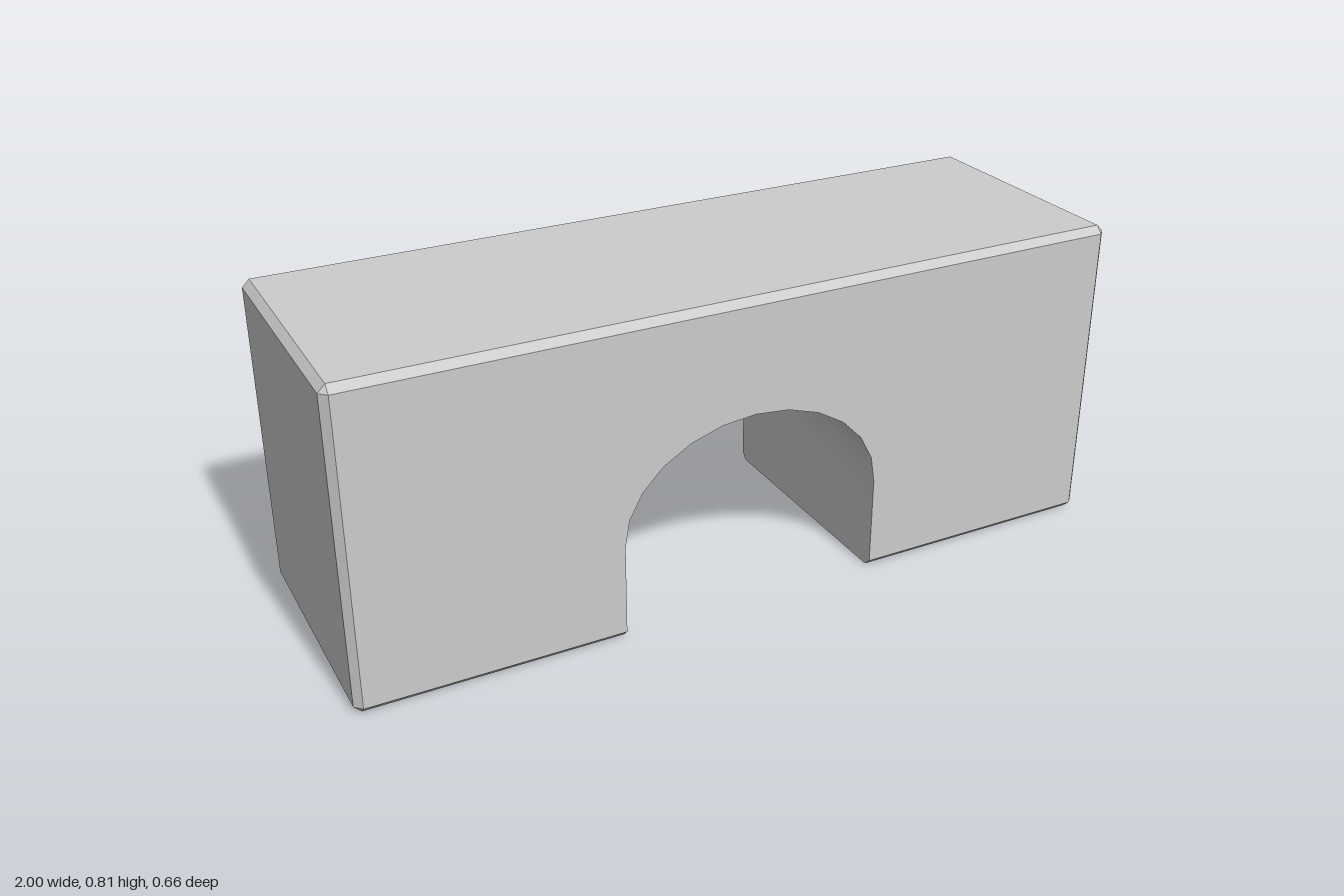
import * as THREE from 'three';

const H = 0.806, D = 0.329, C = 0.018;          // height, half depth, chamfer
const XI = 1 - C, YI = H - C, ZI = D - C;       // limits of the flat faces
const ARCH = { w: 0.34, spring: 0.25, rise: 0.265, steps: 12 };
const POCKET = { x0: 0.445, x1: 0.9, z: 0.228, top: 0.7 };

// Flat convex polygons, turned to face away from (or towards) a centre point
function faces(polygons, centre, inward = false) {
  const pos = [];
  for (const poly of polygons) {
    const p = poly.map((v) => new THREE.Vector3(...v));
    const n = p[1].clone().sub(p[0]).cross(p[2].clone().sub(p[0]));
    const mid = p.reduce((s, v) => s.add(v), new THREE.Vector3()).divideScalar(p.length);
    if ((n.dot(mid.sub(centre)) < 0) !== inward) p.reverse();
    for (let i = 1; i < p.length - 1; i++) {
      for (const v of [p[0], p[i], p[i + 1]]) pos.push(v.x, v.y, v.z);
    }
  }
  const g = new THREE.BufferGeometry();
  g.setAttribute('position', new THREE.Float32BufferAttribute(pos, 3));
  g.computeVertexNormals();
  return g;
}

export function createModel() {
  const group = new THREE.Group();
  const grey = new THREE.MeshStandardMaterial({ color: 0xcccccc });
  grey.name = 'light grey';
  const add = (name, geometry) => {
    const mesh = new THREE.Mesh(geometry, grey);
    mesh.name = name;
    group.add(mesh);
    return mesh;
  };

  // Arch outline from left foot to right foot, starting above the bottom chamfer
  const arch = [[-ARCH.w, C]];
  for (let i = 0; i <= ARCH.steps; i++) {
    const a = Math.PI * (1 - i / ARCH.steps);
    arch.push([ARCH.w * Math.cos(a), ARCH.spring + ARCH.rise * Math.sin(a)]);
  }
  arch.push([ARCH.w, C]);

  // Front and back walls with the arch cut out
  const outline = [[-XI, C], ...arch, [XI, C], [XI, YI], [-XI, YI]];
  const wall = new THREE.ShapeGeometry(new THREE.Shape(outline.map((p) => new THREE.Vector2(...p))));
  add('frontWall', wall).position.z = D;
  const back = add('backWall', wall);
  back.position.z = -D;
  back.rotation.y = Math.PI;

  // Top, ends and chamfers
  const shell = [[[-XI, H, -ZI], [-XI, H, ZI], [XI, H, ZI], [XI, H, -ZI]]];
  for (const s of [-1, 1]) {
    shell.push(
      [[s, C, -ZI], [s, C, ZI], [s, YI, ZI], [s, YI, -ZI]],
      [[s, YI, -ZI], [s, YI, ZI], [s * XI, H, ZI], [s * XI, H, -ZI]],
      [[s, C, -ZI], [s, C, ZI], [s * XI, 0, ZI], [s * XI, 0, -ZI]],
      [[-XI, YI, s * D], [XI, YI, s * D], [XI, H, s * ZI], [-XI, H, s * ZI]],
    );
    for (const t of [-1, 1]) {
      shell.push(
        [[s * XI, C, t * D], [s * XI, YI, t * D], [s, YI, t * ZI], [s, C, t * ZI]],
        [[s * ARCH.w, C, t * D], [s * XI, C, t * D], [s * XI, 0, t * ZI], [s * ARCH.w, 0, t * ZI]],
        [[s * XI, YI, t * D], [s, YI, t * ZI], [s * XI, H, t * ZI]],
        [[s * XI, C, t * D], [s, C, t * ZI], [s * XI, 0, t * ZI]],
      );
    }
  }
  add('chamferedShell', faces(shell, new THREE.Vector3(0, H / 2, 0)));

  // Smooth tunnel under the arch
  const rows = [[-ARCH.w, 0, ZI], ...arch.map(([x, y]) => [x, y, D]), [ARCH.w, 0, ZI]];
  const pos = [], index = [];
  rows.forEach(([x, y, z], i) => {
    pos.push(x, y, z, x, y, -z);
    const a = 2 * i;
    if (i < rows.length - 1) index.push(a, a + 1, a + 2, a + 1, a + 3, a + 2);
  });
  const tunnel = new THREE.BufferGeometry();
  tunnel.setAttribute('position', new THREE.Float32BufferAttribute(pos, 3));
  tunnel.setIndex(index);
  tunnel.computeVertexNormals();
  add('archTunnel', tunnel);

  // Underside rim and hollow pocket of each leg
  const { x0, x1, z, top } = POCKET;
  for (const s of [-1, 1]) {
    const side = s > 0 ? 'left' : 'right';
    const a = s * x0, b = s * x1, m = s * ARCH.w, e = s * XI;
    const rim = [
      [[m, 0, -ZI], [m, 0, ZI], [a, 0, z], [a, 0, -z]],
      [[e, 0, -ZI], [e, 0, ZI], [b, 0, z], [b, 0, -z]],
      [[m, 0, ZI], [e, 0, ZI], [b, 0, z], [a, 0, z]],
      [[m, 0, -ZI], [e, 0, -ZI], [b, 0, -z], [a, 0, -z]],
    ];
    add(side + 'LegRim', faces(rim, new THREE.Vector3(0, H, 0)));
    const pocket = [
      [[a, 0, -z], [a, 0, z], [a, top, z], [a, top, -z]],
      [[b, 0, -z], [b, 0, z], [b, top, z], [b, top, -z]],
      [[a, 0, z], [b, 0, z], [b, top, z], [a, top, z]],
      [[a, 0, -z], [b, 0, -z], [b, top, -z], [a, top, -z]],
      [[a, top, -z], [a, top, z], [b, top, z], [b, top, -z]],
    ];
    add(side + 'LegPocket', faces(pocket, new THREE.Vector3((a + b) / 2, top / 2, 0), true));
  }
  return group;
}
